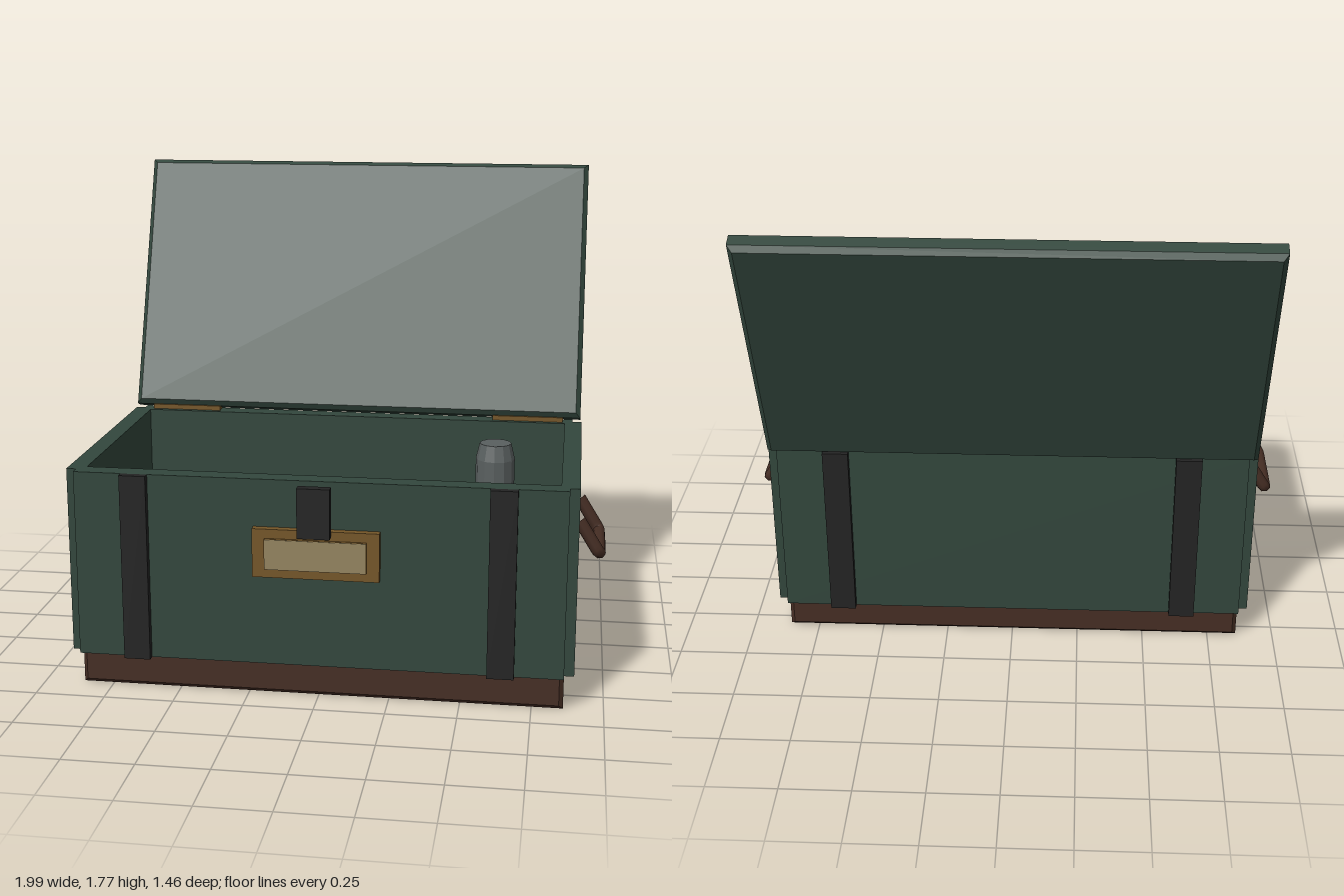
import * as THREE from 'three';

const mat = (name, color) => {
  const m = new THREE.MeshStandardMaterial({ color });
  m.name = name;
  return m;
};

// Box with chamfered edges, centred on the origin
function chamferBox(w, h, d, c) {
  const x = w / 2 - c, y = h / 2 - c;
  const s = new THREE.Shape();
  s.moveTo(-x, -y);
  s.lineTo(x, -y);
  s.lineTo(x, y);
  s.lineTo(-x, y);
  s.closePath();
  const g = new THREE.ExtrudeGeometry(s, {
    depth: d - 2 * c, bevelEnabled: true, bevelThickness: c, bevelSize: c, bevelSegments: 1,
  });
  g.translate(0, 0, -(d / 2 - c));
  return g;
}

export function createModel() {
  const root = new THREE.Group();
  root.name = 'openTrunk';
  const green = mat('dark green', 0x33473d);
  const brown = mat('leather brown', 0x462e24);
  const black = mat('strap black', 0x242424);
  const gold = mat('aged brass', 0x755628);
  const cream = mat('label cream', 0x958560);
  const grey = mat('bottle grey', 0x5a6060);

  const add = (name, geo, material, parent = root) => {
    const m = new THREE.Mesh(geo, material);
    m.name = name;
    parent.add(m);
    return m;
  };
  // Block given by its limits, optionally chamfered
  const block = (name, material, x0, x1, y0, y1, z0, z1, c = 0) => {
    const w = x1 - x0, h = y1 - y0, d = z1 - z0;
    const geo = c ? chamferBox(w, h, d, c) : new THREE.BoxGeometry(w, h, d);
    const m = add(name, geo, material);
    m.position.set((x0 + x1) / 2, (y0 + y1) / 2, (z0 + z1) / 2);
    return m;
  };

  // Plinth, whose top is the floor of the trunk
  block('base', brown, -0.86, 0.86, 0, 0.15, -0.31, 0.63, 0.015);

  // Walls
  block('frontWall', green, -0.86, 0.86, 0.125, 0.8, 0.59, 0.66);
  block('backWall', green, -0.86, 0.86, 0.125, 0.8, -0.345, -0.275);
  block('leftWall', green, 0.83, 0.895, 0.125, 0.8, -0.31, 0.625);
  block('rightWall', green, -0.895, -0.83, 0.125, 0.8, -0.31, 0.625);

  // Open lid leaning back
  const lid = add('lid', chamferBox(1.78, 1.02, 0.082, 0.018), green);
  lid.position.set(0, 1.284, -0.51);
  lid.rotation.x = -0.37;

  // Straps and hinges
  for (const s of [-1, 1]) {
    const x = s * 0.642;
    block('frontStrap', black, x - 0.047, x + 0.047, 0.125, 0.8, 0.66, 0.687);
    block('backStrap', black, x - 0.047, x + 0.047, 0.125, 0.8, -0.37, -0.345);
    block('hinge', gold, s * 0.685 - 0.137, s * 0.685 + 0.137, 0.798, 0.818, -0.345, -0.295);
  }

  // Label and latch on the front
  block('labelFrame', gold, -0.222, 0.222, 0.455, 0.63, 0.655, 0.688);
  block('labelPlate', gold, -0.178, 0.178, 0.487, 0.597, 0.688, 0.698);
  block('labelFace', cream, -0.176, 0.176, 0.488, 0.596, 0.698, 0.701);
  block('latch', black, -0.057, 0.057, 0.615, 0.793, 0.699, 0.733);

  // Carrying handles: a sloping U with rounded corners
  const corner = [[0.895, 0.592, 0.018], [0.972, 0.467, 0.018], [0.972, 0.467, 0.302], [0.895, 0.592, 0.302]]
    .map((p) => new THREE.Vector3(...p));
  const path = new THREE.CurvePath();
  const near = (a, b, d) => a.clone().add(b.clone().sub(a).setLength(d));
  let from = corner[0];
  for (let i = 1; i < 3; i++) {
    const a = near(corner[i], corner[i - 1], 0.025);
    const b = near(corner[i], corner[i + 1], 0.025);
    path.add(new THREE.LineCurve3(from, a));
    path.add(new THREE.QuadraticBezierCurve3(a, corner[i], b));
    from = b;
  }
  path.add(new THREE.LineCurve3(from, corner[3]));
  const handleGeo = new THREE.TubeGeometry(path, 40, 0.023, 8, false);
  add('leftHandle', handleGeo, brown);
  add('rightHandle', handleGeo, brown).rotation.y = Math.PI;
  root.getObjectByName('rightHandle').position.z = 0.32;

  // Case inside, with a ring on its lid
  block('innerCase', brown, -0.7, -0.03, 0.15, 0.45, -0.19, 0.455, 0.022);
  const ring = add('caseRing', new THREE.TorusGeometry(0.06, 0.016, 8, 20), black);
  ring.rotation.x = Math.PI / 2;
  ring.position.set(-0.325, 0.458, 0.355);

  // Compartment inside, with a panel, slots and a small raised block
  block('compartment', brown, 0.003, 0.715, 0.15, 0.4, -0.205, 0.51);
  block('panel', cream, 0.1, 0.5, 0.4, 0.409, -0.103, 0.175);
  block('panelRaisedSquare', cream, 0.18, 0.417, 0.409, 0.418, -0.07, 0.13);
  for (const x of [0.235, 0.34]) {
    block('panelSlot', black, x - 0.026, x + 0.026, 0.418, 0.424, -0.015, 0.08);
  }
  block('smallBlock', brown, 0.1, 0.378, 0.4, 0.42, 0.245, 0.42);

  // Bottle with a tapered, faceted cap
  const profile = [[0, 0.4], [0.068, 0.4], [0.068, 0.84], [0.055, 0.895], [0, 0.895]]
    .map(([x, y]) => new THREE.Vector2(x, y));
  const bottleGeo = new THREE.LatheGeometry(profile, 12).toNonIndexed();
  bottleGeo.computeVertexNormals();
  add('bottle', bottleGeo, grey).position.set(0.596, 0, 0.415);

  return root;
}
